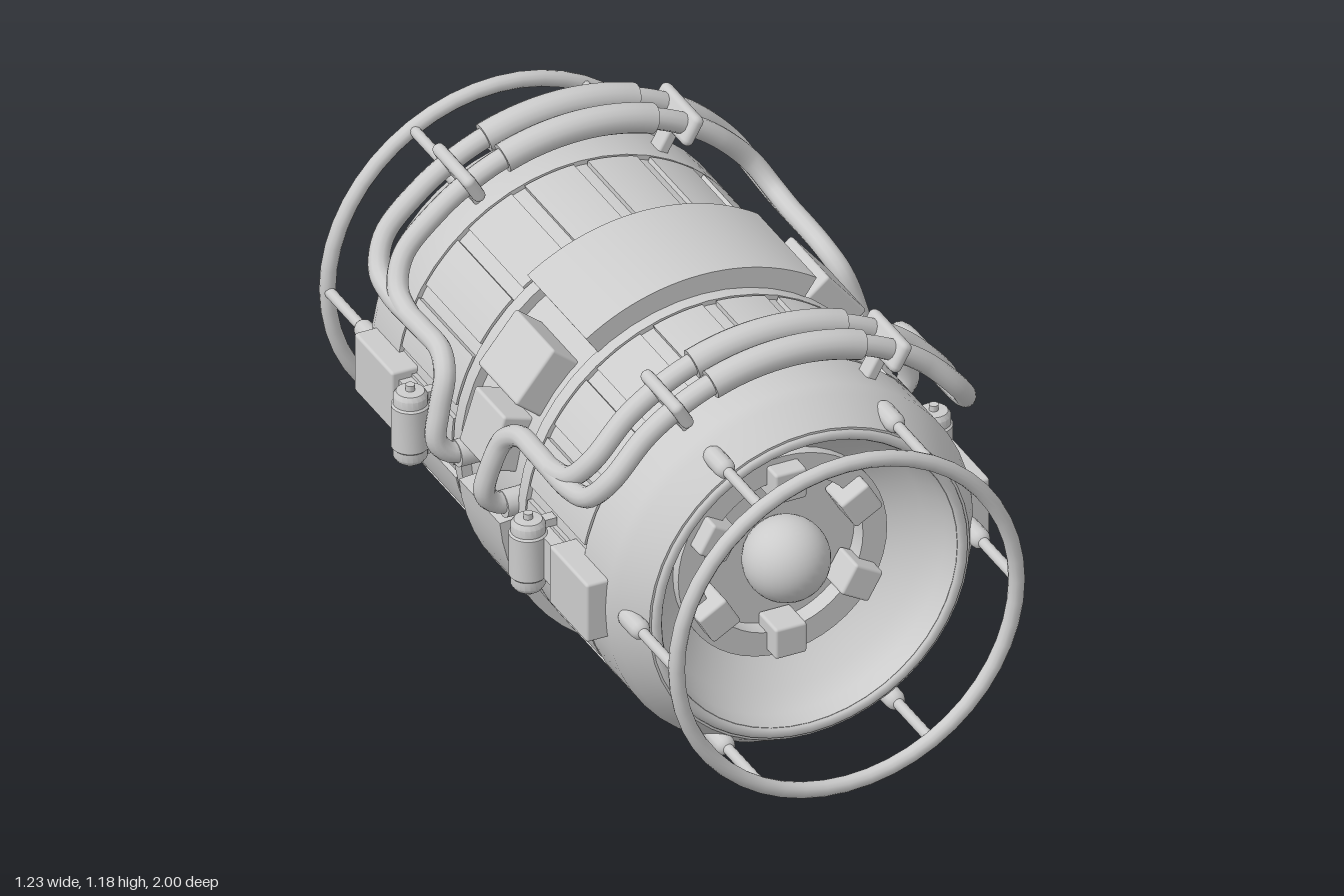
import * as THREE from 'three';
import { toCreasedNormals } from 'three/addons/utils/BufferGeometryUtils.js';
import { RoundedBoxGeometry } from 'three/addons/geometries/RoundedBoxGeometry.js';

const AXIS_Y = 0.538;
const material = new THREE.MeshStandardMaterial({ color: 0xcccccc });
const rad = THREE.MathUtils.degToRad;
const V = (x, y, z) => new THREE.Vector3(x, y, z);

function add(parent, name, geometry, x = 0, y = 0, z = 0) {
  const mesh = new THREE.Mesh(geometry, material);
  mesh.name = name;
  mesh.position.set(x, y, z);
  parent.add(mesh);
  return mesh;
}

// Curved plate around the z axis, angles in degrees from +x
function arcPlate(r0, r1, a0, a1, z0, z1, segments) {
  const shape = new THREE.Shape();
  shape.absarc(0, 0, r1, rad(a0), rad(a1), false);
  shape.absarc(0, 0, r0, rad(a1), rad(a0), true);
  const g = new THREE.ExtrudeGeometry(shape, { depth: z1 - z0, bevelEnabled: false, curveSegments: segments });
  g.translate(0, 0, z0);
  return toCreasedNormals(g, rad(28));
}

// Box set at an angle around the z axis: radial, tangential and axial size
function radialBox(parent, name, angle, r, size, z, round = 0.008) {
  const a = rad(angle);
  const mesh = add(parent, name, new RoundedBoxGeometry(...size, 2, round), Math.cos(a) * r, Math.sin(a) * r, z);
  mesh.rotation.z = a;
  return mesh;
}

// Barrel with a recessed mouth at both ends
function barrel(parent) {
  const half = [
    [0.48, 0.16], [0.508, 0.16], [0.508, 0.2], [0.495, 0.2], [0.495, 0.52], [0.508, 0.52],
    [0.508, 0.66], [0.495, 0.69], [0.445, 0.77], [0.41, 0.77], [0.4, 0.72], [0.37, 0.66],
    [0.29, 0.59], [0.29, 0.62], [0.223, 0.62], [0.223, 0.57], [0, 0.57],
  ];
  const profile = [...half].reverse().map(([r, z]) => new THREE.Vector2(r, -z))
    .concat(half.map(([r, z]) => new THREE.Vector2(r, z)));
  const g = toCreasedNormals(new THREE.LatheGeometry(profile, 48), rad(28));
  add(parent, 'barrel', g.rotateX(Math.PI / 2));
}

// One end: ball, clamp blocks, guard ring and struts, built for +z
function endCap() {
  const end = new THREE.Group();
  end.name = 'endCap';
  add(end, 'centreBall', new THREE.SphereGeometry(0.112, 32, 20), 0, 0, 0.64);
  add(end, 'guardRing', new THREE.TorusGeometry(0.472, 0.021, 12, 48), 0, 0, 0.978);
  add(end, 'mouthRim', new THREE.TorusGeometry(0.425, 0.016, 8, 48), 0, 0, 0.765);
  for (let i = 0; i < 6; i++) {
    radialBox(end, 'clampBlock', 30 + i * 60, 0.228, [0.088, 0.088, 0.1], 0.62);
    const a = rad(i * 60), x = Math.cos(a) * 0.472, y = Math.sin(a) * 0.472;
    const strut = add(end, 'strut', new THREE.CylinderGeometry(0.0145, 0.0145, 0.28, 12), x, y, 0.84);
    const socket = add(end, 'strutSocket', new THREE.CapsuleGeometry(0.027, 0.06, 5, 12), x, y, 0.74);
    strut.rotation.x = socket.rotation.x = Math.PI / 2;
  }
  return end;
}

// Side runs of a pipe from the arch down to its inlet, mirrored over the top
function pipePath(z) {
  const at = (deg, r, pz) => V(Math.cos(rad(deg)) * r, Math.sin(rad(deg)) * r, pz);
  const side = [
    at(2, 0.5, 0.13), at(3.5, 0.56, 0.13), at(7, 0.592, 0.135), at(15, 0.595, 0.145),
    at(23, 0.597, 0.165), at(27, 0.598, 0.22), at(27.5, 0.6, 0.32),
    at(27.5, 0.6, z - 0.13), at(30, 0.602, z - 0.045), at(37, 0.605, z),
  ];
  const arch = [];
  for (let d = 50; d <= 130; d += 10) arch.push(at(d, 0.606, z));
  const other = [...side].reverse().map((p) => V(-p.x, p.y, p.z));
  return new THREE.CatmullRomCurve3([...side, ...arch, ...other]);
}

// Sleeve that follows the arch around the top of a pipe
function sleeveCurve(z, a0, a1) {
  const points = [];
  for (let i = 0; i <= 8; i++) {
    const a = rad(a0 + (a1 - a0) * i / 8);
    points.push(V(Math.cos(a) * 0.606, Math.sin(a) * 0.606, z));
  }
  return new THREE.CatmullRomCurve3(points);
}

function pipes() {
  const group = new THREE.Group();
  group.name = 'pipes';
  for (const z of [0.53, 0.635]) {
    add(group, 'pipe', new THREE.TubeGeometry(pipePath(z), 150, 0.028, 12));
    const sleeve = sleeveCurve(z, 70, 110);
    add(group, 'pipeSleeve', new THREE.TubeGeometry(sleeve, 20, 0.039, 16));
    // Closed ends of the sleeve
    for (const [t, turn] of [[0, -1], [1, 1]]) {
      const cap = add(group, 'sleeveEnd', new THREE.CircleGeometry(0.039, 16));
      cap.position.copy(sleeve.getPointAt(t));
      cap.quaternion.setFromUnitVectors(V(0, 0, 1), sleeve.getTangentAt(t).multiplyScalar(turn));
    }
  }
  for (const angle of [60, 120]) {
    radialBox(group, 'pipeClamp', angle, 0.605, [0.085, 0.034, 0.2], 0.583, 0.016);
    radialBox(group, 'clampLeg', angle, 0.54, [0.1, 0.032, 0.05], 0.583);
  }
  for (const s of [-1, 1]) {
    const collar = add(group, 'pipeInlet', new THREE.CylinderGeometry(0.036, 0.036, 0.06, 16), s * 0.505, 0.02, 0.13);
    collar.rotation.z = Math.PI / 2;
  }
  return group;
}

// Canister with its box and bracket, at the side s of the barrel
function sidePod(s) {
  const pod = new THREE.Group();
  pod.name = 'sidePod';
  add(pod, 'podBox', new RoundedBoxGeometry(0.09, 0.17, 0.212, 2, 0.008), s * 0.515, 0, 0.546);
  add(pod, 'podBracket', new THREE.BoxGeometry(0.05, 0.12, 0.16), s * 0.515, 0, 0.37);
  const profile = [[0, -0.118], [0.012, -0.118], [0.012, -0.102], [0.036, -0.1], [0.044, -0.088], [0.044, -0.065],
    [0.049, -0.06], [0.049, 0.06], [0.044, 0.065], [0.044, 0.088], [0.036, 0.1], [0.012, 0.102], [0.012, 0.118], [0, 0.118]];
  const g = new THREE.LatheGeometry(profile.map((p) => new THREE.Vector2(...p)), 20);
  add(pod, 'canister', toCreasedNormals(g, rad(35)), s * 0.563, 0, 0.33);
  for (const y of [-0.08, 0.08]) add(pod, 'canisterArm', new THREE.BoxGeometry(0.07, 0.022, 0.03), s * 0.525, y, 0.33);
  return pod;
}

export function createModel() {
  const model = new THREE.Group();
  model.name = 'engine';
  const core = new THREE.Group();
  core.name = 'core';
  core.position.y = AXIS_Y;
  model.add(core);

  barrel(core);

  // Bands around the waist and blocks at its sides
  add(core, 'lowerBand', arcPlate(0.47, 0.537, 185, 355, -0.115, 0.115, 14));
  add(core, 'topCover', arcPlate(0.47, 0.565, 55.5, 124.5, -0.165, 0.165, 12));
  for (const flip of [0, 1]) {
    const turn = (a) => (flip ? 180 - a : a);
    radialBox(core, 'upperBlock', turn(39), 0.51, [0.1, 0.17, 0.215], 0);
    radialBox(core, 'sideBlock', turn(17.5), 0.51, [0.09, 0.155, 0.165], 0);
  }

  // Everything that repeats at both ends
  for (const turn of [0, Math.PI]) {
    const half = new THREE.Group();
    half.name = 'half';
    half.rotation.y = turn;
    core.add(half);
    half.add(endCap(), pipes(), sidePod(1), sidePod(-1));
    for (let i = 0; i < 18; i++) {
      const a = 90 + i * 20;
      add(half, 'skinPanel', arcPlate(0.485, 0.508, a + 2.2, a + 17.8, 0.208, 0.512, 4));
    }
  }
  return model;
}
